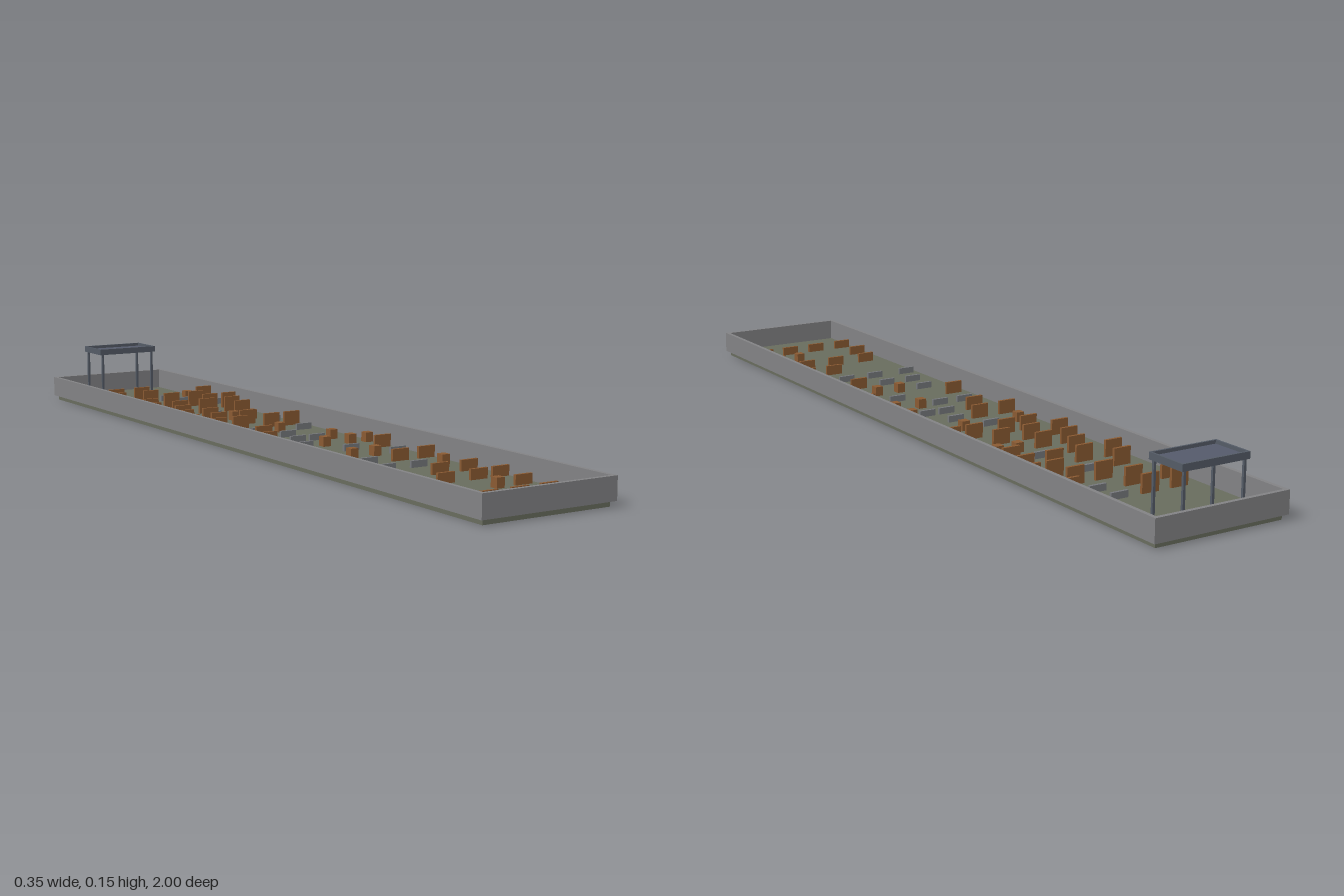
import * as THREE from 'three';

const paint = (name, color) => {
  const m = new THREE.MeshStandardMaterial({ color });
  m.name = name;
  return m;
};

export function createModel() {
  const wallGrey = paint('wall grey', 0x828284);
  const floorGreen = paint('floor olive', 0x686c5d);
  const steel = paint('steel', 0x545b66);
  const roofBlue = paint('roof blue', 0x555a6b);
  const wood = paint('wood', 0x8a5a32);
  const stone = paint('stone', 0x76787c);

  const group = new THREE.Group();
  // Box standing on height y
  const box = (name, mat, w, h, d, x, y, z) => {
    const m = new THREE.Mesh(new THREE.BoxGeometry(w, h, d), mat);
    m.name = name;
    m.position.set(x, y + h / 2, z);
    group.add(m);
  };

  // Floor slab and surrounding walls
  const top = 0.0125;
  box('floor', floorGreen, 0.33, top, 1.98, 0, 0, 0);
  for (const s of [-1, 1]) {
    box('sideWall', wallGrey, 0.01, 0.0535, 2, s * 0.17, top, 0);
    box('endWall', wallGrey, 0.33, 0.0535, 0.01, 0, top, s * 0.995);
  }

  // Canopy: four posts, recessed roof and raised rim
  const cz = -0.919;
  for (const s of [-1, 1]) {
    for (const t of [-1, 1]) box('canopyPost', steel, 0.006, 0.127, 0.006, s * 0.0785, top, cz + t * 0.047);
    box('canopySideRim', steel, 0.005, 0.016, 0.106, s * 0.0855, 0.138, cz);
    box('canopyEndRim', steel, 0.166, 0.016, 0.005, 0, 0.138, cz + s * 0.0505);
  }
  box('canopyRoof', roofBlue, 0.166, 0.007, 0.096, 0, 0.139, cz);

  // Obstacle rows from back to front: z, then x of panels, low bars and blocks
  const rows = [
    [-0.73, [-0.106, -0.026], [0.056], [0.12]],
    [-0.667, [-0.13, -0.03, 0.138], [0.066], []],
    [-0.6, [0, 0.077], [-0.08, 0.138], []],
    [-0.534, [-0.1, 0.085, 0.146], [-0.01], []],
    [-0.466, [-0.127, -0.045, 0.037, 0.116], [], []],
    [-0.394, [-0.075, 0.106], [0.02], []],
    [-0.323, [-0.105, -0.032], [], [0.04, 0.095]],
    [-0.249, [-0.13, -0.048, 0.037], [0.116], []],
    [-0.175, [-0.09, -0.026, 0.066, 0.127], [], []],
    [-0.098, [], [-0.032, 0.116], [-0.113, 0.045]],
    [0.02 * -1, [-0.13, -0.05], [0.02], []],
    [0.058, [-0.083], [0, 0.055], [0.1]],
    [0.14, [], [-0.105, -0.032], [0.026, 0.1, 0.15]],
    [0.225, [-0.125, 0.135], [0.045], []],
    [0.31, [], [-0.085, 0.12], [-0.01, 0.056]],
    [0.395, [0.066, 0.14], [-0.1, -0.02], []],
    [0.482, [], [-0.13, -0.032, 0.055], [0.125]],
    [0.575, [0.045, 0.125], [], []],
    [0.667, [-0.105, -0.01, 0.08, 0.14], [], []],
    [0.763, [-0.13, 0.125], [], [0.056]],
    [0.858, [-0.13, -0.045, 0.037, 0.116], [], []],
  ];
  for (const [z, panels, bars, blocks] of rows) {
    const h = 0.034 - 0.014 * z;
    for (const x of panels) box('panel', wood, 0.046, h, 0.007, x, top, z);
    for (const x of bars) box('lowBar', stone, 0.044, 0.016, 0.007, x, top, z);
    for (const x of blocks) box('block', wood, 0.021, 0.024, 0.021, x, top, z);
  }
  return group;
}
